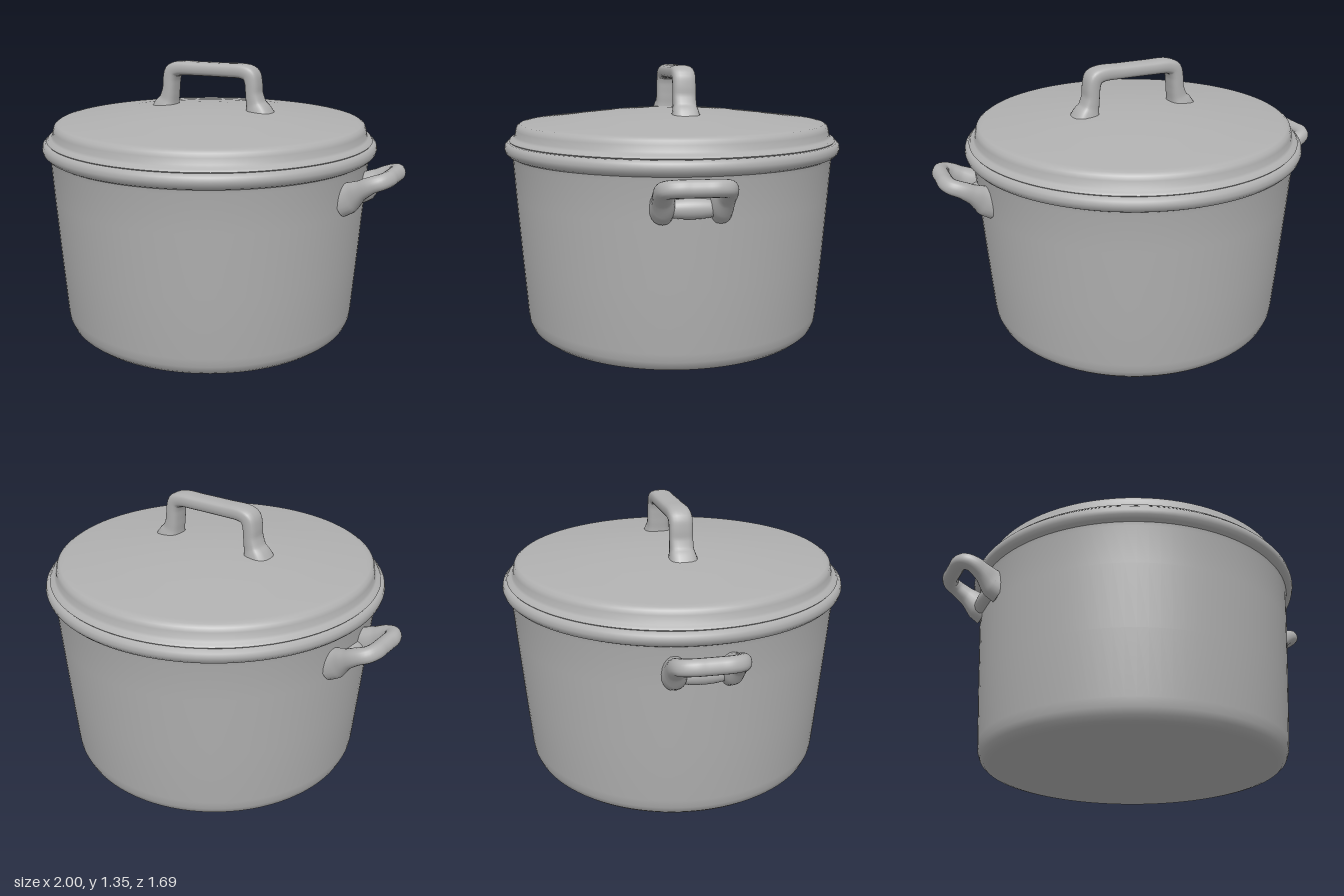
import * as THREE from 'three';
import { toCreasedNormals } from 'three/addons/utils/BufferGeometryUtils.js';

const metal = new THREE.MeshStandardMaterial({ color: 0xb0b0b0 });
metal.name = 'grey metal';

function part(name, geometry) {
  const mesh = new THREE.Mesh(geometry, metal);
  mesh.name = name;
  return mesh;
}

// Turned shape from [radius, y] pairs, listed bottom to top
function turned(profile) {
  const pts = profile.map(([r, y]) => new THREE.Vector2(r, y));
  return toCreasedNormals(new THREE.LatheGeometry(pts, 96), 0.75);
}

// Sweep a rounded section along stations [x, y, z, a, b]:
// a = half size along the fixed axis, b = half size across it
function sweep(stations, axis, power, steps = 64, sides = 20) {
  const curve = new THREE.CatmullRomCurve3(stations.map(s => new THREE.Vector3(s[0], s[1], s[2])));
  const pos = [], index = [], last = stations.length - 1;
  const shape = v => Math.sign(v) * Math.abs(v) ** power;
  for (let i = 0; i <= steps; i++) {
    const t = i / steps, k = Math.min(Math.floor(t * last), last - 1), f = t * last - k;
    const c = curve.getPoint(t);
    const across = curve.getTangent(t).cross(axis).normalize();
    const [a, b] = [3, 4].map(n => THREE.MathUtils.lerp(stations[k][n], stations[k + 1][n], f));
    for (let j = 0; j < sides; j++) {
      const q = j / sides * Math.PI * 2;
      const p = c.clone().addScaledVector(axis, a * shape(Math.cos(q))).addScaledVector(across, b * shape(Math.sin(q)));
      pos.push(p.x, p.y, p.z);
      if (i < steps) {
        const n = (j + 1) % sides, r = i * sides, s = r + sides;
        index.push(r + j, r + n, s + j, r + n, s + n, s + j);
      }
    }
  }
  const g = new THREE.BufferGeometry();
  g.setAttribute('position', new THREE.Float32BufferAttribute(pos, 3));
  g.setIndex(index);
  g.computeVertexNormals();
  return g;
}

// Complete a half path by mirroring it along one coordinate (0 = x, 2 = z)
function mirrored(half, coord) {
  const other = half.map(s => s.map((v, i) => (i === coord ? -v : v))).reverse();
  return [...half, ...other];
}

function sideHandle(name) {
  const group = new THREE.Group();
  group.name = name;
  const half = [
    [0.76, 0.765, 0.125, 0.075, 0.055],
    [0.81, 0.79, 0.125, 0.07, 0.05],
    [0.86, 0.83, 0.133, 0.046, 0.042],
    [0.91, 0.862, 0.134, 0.038, 0.038],
    [0.945, 0.875, 0.118, 0.037, 0.037],
    [0.962, 0.88, 0.075, 0.037, 0.038],
    [0.963, 0.88, 0.03, 0.037, 0.037],
  ];
  group.add(part('loop', sweep(mirrored(half, 2), new THREE.Vector3(-0.4, 0.92, 0).normalize(), 0.9)));
  // Thickened wall under the loop, with a foot at each end
  const pad = part('mountingPad', new THREE.SphereGeometry(1, 24, 16));
  pad.scale.set(0.04, 0.045, 0.15);
  pad.position.set(0.795, 0.765, 0);
  group.add(pad);
  for (const s of [-1, 1]) {
    const foot = part('foot', new THREE.SphereGeometry(1, 24, 16));
    foot.scale.set(0.035, 0.08, 0.05);
    foot.position.set(0.805, 0.78, s * 0.125);
    foot.rotation.z = -0.3;
    group.add(foot);
  }
  group.position.z = 0.018;
  return group;
}

export function createModel() {
  const model = new THREE.Group();
  model.name = 'cookingPot';

  // Tapered pot with rolled rim
  const pot = part('pot', turned([
    [0, 0], [0.69, 0.005], [0.715, 0.012], [0.735, 0.03], [0.747, 0.06], [0.752, 0.1],
    [0.773, 0.4], [0.792, 0.7], [0.802, 0.88], [0.806, 0.9], [0.822, 0.908], [0.835, 0.922],
    [0.84, 0.94], [0.836, 0.96], [0.825, 0.972], [0.8, 0.975], [0, 0.975],
  ]));

  // Stepped, gently domed lid
  const lid = part('lid', turned([
    [0.76, 0.96], [0.81, 0.968], [0.818, 0.978], [0.81, 0.988], [0.795, 0.993], [0.788, 1.003],
    [0.784, 1.03], [0.777, 1.049], [0.762, 1.059], [0.74, 1.063], [0.62, 1.077],
    [0.48, 1.095], [0.32, 1.113], [0.16, 1.124], [0, 1.128],
  ]));
  pot.scale.z = lid.scale.z = 1.008;
  model.add(pot, lid);

  // Squared lid handle with flared feet, turned slightly
  const half = [
    [-0.268, 1.08, 0, 0.074, 0.075],
    [-0.258, 1.115, 0, 0.066, 0.062],
    [-0.245, 1.15, 0, 0.057, 0.044],
    [-0.234, 1.2, 0, 0.056, 0.036],
    [-0.229, 1.255, 0, 0.056, 0.037],
    [-0.216, 1.292, 0, 0.056, 0.04],
    [-0.18, 1.307, 0, 0.056, 0.037],
    [-0.08, 1.309, 0, 0.056, 0.035],
  ];
  const lidHandle = part('lidHandle', sweep(mirrored(half, 0), new THREE.Vector3(0, 0, 1), 0.7));
  lidHandle.rotation.y = 0.055;
  lidHandle.position.set(0.003, 0, -0.015);
  model.add(lidHandle);

  // Side handles, one turned half round
  const left = sideHandle('leftHandle');
  const right = new THREE.Group();
  right.name = 'rightSide';
  right.add(sideHandle('rightHandle'));
  right.rotation.y = Math.PI;
  model.add(left, right);
  return model;
}
